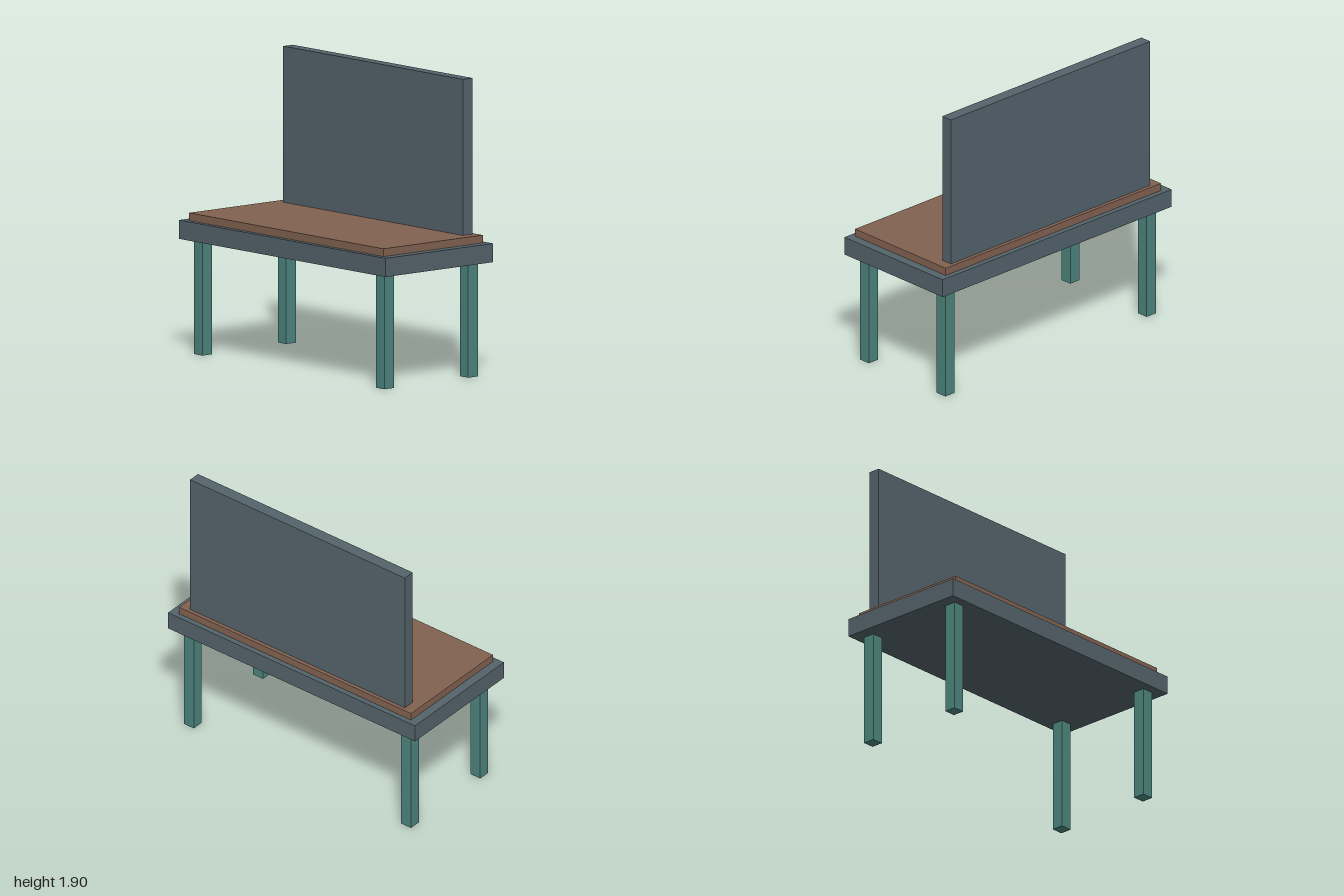
import * as THREE from 'three';

const material = (name, color) => {
  const m = new THREE.MeshStandardMaterial({ color });
  m.name = name;
  return m;
};

// Box given by its size, centre x/z and bottom height
function box(name, mat, [w, h, d], x, bottom, z) {
  const mesh = new THREE.Mesh(new THREE.BoxGeometry(w, h, d), mat);
  mesh.name = name;
  mesh.position.set(x, bottom + h / 2, z);
  return mesh;
}

export function createModel() {
  const slate = material('slate', 0x54636b);
  const brown = material('brown', 0x826250);
  const teal = material('teal', 0x4d857e);

  const bench = new THREE.Group();
  bench.name = 'bench';

  // Seat slab, cushion and upright back
  bench.add(box('seat', slate, [2, 0.12, 0.9], 0, 0.735, 0));
  bench.add(box('cushion', brown, [1.88, 0.05, 0.83], 0, 0.855, 0));
  bench.add(box('backrest', slate, [1.74, 1, 0.08], 0, 0.905, -0.35));

  // Four square legs
  for (const [side, x] of [['Left', 0.88], ['Right', -0.88]]) {
    for (const [end, z] of [['front', 0.35], ['back', -0.35]]) {
      bench.add(box(`${end}${side}Leg`, teal, [0.08, 0.735, 0.08], x, 0, z));
    }
  }
  return bench;
}
